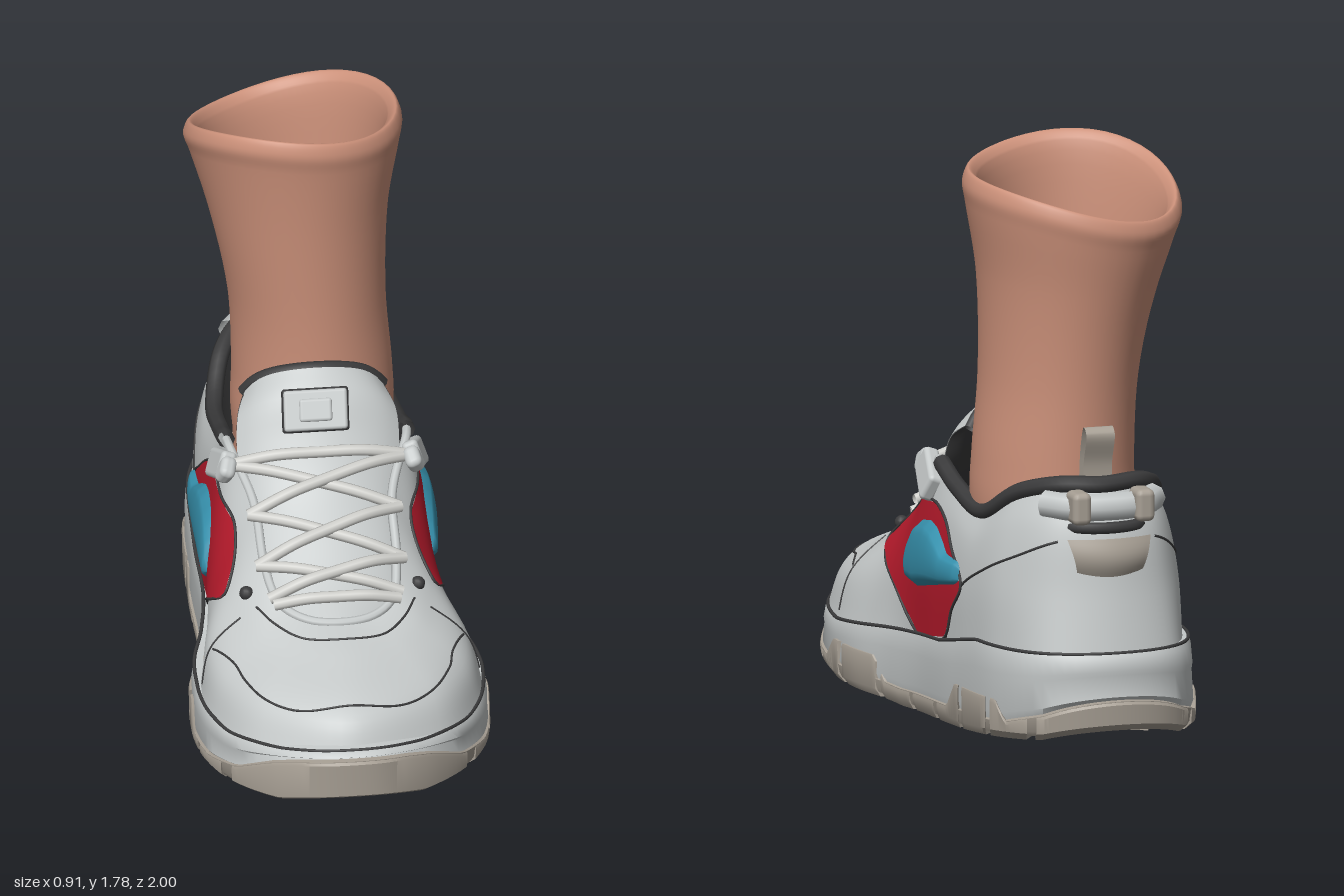
import * as THREE from 'three';
import { mergeVertices, toCreasedNormals } from 'three/addons/utils/BufferGeometryUtils.js';
import { RoundedBoxGeometry } from 'three/addons/geometries/RoundedBoxGeometry.js';

const V = (x, y, z) => new THREE.Vector3(x, y, z);
const paint = (name, color) => {
  const m = new THREE.MeshStandardMaterial({ color, side: THREE.DoubleSide });
  m.name = name;
  return m;
};

// Piecewise-linear lookup in a table of [key, value], keys rising
function look(tab, k) {
  if (k <= tab[0][0]) return tab[0][1];
  for (let i = 1; i < tab.length; i++) {
    const [a, p] = tab[i - 1], [b, q] = tab[i];
    if (k <= b) return p + (q - p) * (k - a) / (b - a);
  }
  return tab[tab.length - 1][1];
}

// Grid surface from f(u, v), u and v in 0..1
function surf(f, nu, nv, crease) {
  const pos = [], idx = [];
  for (let i = 0; i <= nu; i++) for (let j = 0; j <= nv; j++) {
    const p = f(i / nu, j / nv);
    pos.push(p.x, p.y, p.z);
    if (i < nu && j < nv) {
      const a = i * (nv + 1) + j, b = a + nv + 1;
      idx.push(a, b, a + 1, b, b + 1, a + 1);
    }
  }
  let g = new THREE.BufferGeometry();
  g.setAttribute('position', new THREE.Float32BufferAttribute(pos, 3));
  g.setIndex(idx);
  g = mergeVertices(g, 1e-5);
  g.computeVertexNormals();
  return crease ? toCreasedNormals(g, crease) : g;
}

// Closed, mirrored curve from a half outline running heel to toe
function ring(half) {
  const pts = half.map(p => V(...p));
  const back = half.slice(1, -1).reverse().map(([x, y, z]) => V(-x, y, z));
  return new THREE.CatmullRomCurve3([...pts, ...back], true);
}
const spline = pts => new THREE.CatmullRomCurve3(pts);
const tube = (pts, r, n = 40, closed = false) =>
  new THREE.TubeGeometry(new THREE.CatmullRomCurve3(pts, closed), n, r, 8, closed);

export function createModel() {
  const model = new THREE.Group(), shoe = new THREE.Group();
  model.name = 'shoeOnLeg';
  shoe.name = 'shoe';
  model.add(shoe);
  const white = paint('pale grey leather', 0xc6caca), tan = paint('warm grey rubber', 0xa79f94);
  const dark = paint('charcoal lining', 0x3b3b3c), tread = paint('dark tread', 0x66625d);
  const red = paint('red mesh', 0xb51a2b), teal = paint('teal overlay', 0x3690ac);
  const skin = paint('skin', 0xcc917a), cord = paint('lace', 0xcfcfcb);
  const add = (name, geo, mat, parent = shoe) => {
    const m = new THREE.Mesh(geo, mat);
    m.name = name;
    parent.add(m);
    return m;
  };

  // Upper: four level lines from the sole edge to the opening, heel to toe
  const levels = [
    [[0, .31, -.94], [.2, .31, -.88], [.29, .3, -.7], [.32, .28, -.5], [.33, .25, -.25], [.335, .22, 0], [.385, .2, .2], [.425, .19, .4], [.4, .19, .6], [.28, .21, .82], [0, .24, .95]],
    [[0, .5, -.905], [.18, .5, -.85], [.28, .5, -.69], [.32, .46, -.48], [.33, .44, -.25], [.335, .42, 0], [.355, .38, .2], [.39, .34, .38], [.36, .32, .57], [.25, .335, .75], [0, .345, .89]],
    [[0, .7, -.87], [.16, .7, -.82], [.25, .68, -.67], [.3, .6, -.48], [.305, .62, -.27], [.305, .62, -.03], [.28, .55, .16], [.295, .46, .34], [.25, .42, .5], [.16, .415, .6], [0, .42, .67]],
    [[0, .82, -.81], [.12, .82, -.77], [.21, .78, -.65], [.26, .69, -.48], [.27, .72, -.26], [.27, .77, -.08], [.21, .68, .12], [.2, .56, .3], [.17, .49, .42], [.1, .465, .48], [0, .46, .5]],
  ].map(ring);
  const rim = levels[3];
  const upper = add('upper', surf((u, v) => spline(levels.map(c => c.getPoint((1 - u) % 1))).getPoint(v), 160, 20), white);

  // Projection of points onto the upper
  const caster = new THREE.Raycaster();
  const onSide = (s, z, y, lift = 0) => {
    caster.set(V(s * 2, y, z), V(-s, 0, 0));
    const hit = caster.intersectObject(upper)[0];
    return V(hit && hit.point.x * s > 0 ? hit.point.x + s * lift : s * .3, y, z);
  };
  const onTop = (x, z, lift = 0) => {
    caster.set(V(x, 3, z), V(0, -1, 0));
    const hit = caster.intersectObject(upper)[0];
    return V(x, (hit ? hit.point.y : .3) + lift, z);
  };

  // Side panels, overlays and seams
  const panelTop = [[-.45, .46], [-.35, .55], [-.26, .62], [-.16, .655], [0, .64], [.11, .61], [.2, .545], [.285, .46]];
  const panelLow = [[-.45, .45], [-.38, .37], [-.32, .275], [-.08, .235], [.1, .345], [.22, .41], [.285, .45]];
  const finTop = [[-.435, .51], [-.42, .525], [-.32, .53], [-.27, .56], [-.21, .59], [-.15, .6], [-.07, .585], [-.03, .565], [.02, .515], [.045, .44]];
  const finLow = [[-.435, .47], [-.41, .455], [-.29, .43], [-.08, .385], [.01, .39], [.045, .43]];
  const patch = (s, top, low, lift, drop = 0) => surf((u, v) => {
    const z = THREE.MathUtils.lerp(top[0][0], top[top.length - 1][0], s < 0 ? u : 1 - u), y0 = look(low, z);
    return onSide(s, z, y0 + (look(top, z) - y0) * v - drop, lift(u, v));
  }, 36, 10);
  const sideSeam = (s, path, r) =>
    tube(spline(path.map(([z, y]) => V(0, y, z))).getPoints(30).map(p => onSide(s, p.z, p.y, .001)), r);
  const topSeam = half => tube(spline([...half.slice(1).reverse().map(([x, z]) => V(-x, 0, z)),
    ...half.map(([x, z]) => V(x, 0, z))]).getPoints(60).map(p => onTop(p.x, p.z, .001)), .0035, 90);
  for (const s of [-1, 1]) {
    add('sidePanel', patch(s, panelTop, panelLow, () => .006), red);
    add('sideOverlay', patch(s, finTop, finLow,
      (u, v) => .006 + .032 * Math.pow(Math.max(0, Math.sin(Math.PI * u) * Math.sin(Math.PI * v)), .3), s < 0 ? .025 : 0), teal);
    const edge = [...panelTop, ...panelLow.slice(1, -1).reverse()].map(([z, y]) => onSide(s, z, y, .004));
    add('panelPiping', tube(edge, .0045, 90, true), dark);
    add('heelSeam', sideSeam(s, [[-.32, .27], [-.38, .38], [-.45, .46], [-.6, .54], [-.75, .61], [-.84, .66]], .004), dark);
    add('quarterSeam', sideSeam(s, [[.4, .44], [.405, .33], [.4, .22]], .003), dark);
    const e = onSide(s, .34, .49, 0);
    add('eyelet', new THREE.SphereGeometry(.022, 12, 8).translate(e.x, e.y, e.z), dark);
  }
  add('toeSeam', topSeam([[0, .85], [.14, .83], [.25, .74], [.31, .62], [.33, .54], [.38, .42]]), dark);
  add('vampSeam', topSeam([[0, .575], [.12, .55], [.2, .47], [.24, .4]]), dark);

  // Opening: padded collar, lining and eyestay piping
  const arc = (c, a, b, n = 40) => Array.from({ length: n + 1 }, (_, i) => c.getPoint((a + (b - a) * i / n + 20) % 20 / 20));
  add('collar', tube(arc(rim, -4.8, 4.8), .027, 90), dark);
  add('lining', surf((u, v) => {
    const p = rim.getPoint((4.9 - 9.8 * u + 20) % 20 / 20);
    return V(p.x * (1 - .15 * v), p.y - .25 * v, p.z + (-.45 - p.z) * .15 * v);
  }, 60, 4), dark);
  add('eyestayPiping', tube(arc(rim, 4.8, 15.2), .014, 80), white);

  // Tongue, rounded at the top, with thick dark padding behind
  const tongueMid = spline([V(.13, .45, .5), V(.2, .51, .36), V(.22, .61, .22), V(.225, .71, .1), V(.245, .83, .01), V(.24, .94, -.055), V(.21, .995, -.12)]);
  const tongueAt = (u, v) => {
    const c = tongueMid.getPoint(v), k = 2 * u - 1;
    return V(c.x * k, c.y - .06 * k * k - .04 * v * k ** 6, c.z - .06 * k * k * v);
  };
  add('tongue', surf((u, v) => tongueAt(u, v), 20, 30), white);
  add('tonguePadding', surf((u, v) => {
    const p = tongueAt(1 - u, .45 + .55 * v);
    p.z -= .008 + .075 * Math.pow(Math.max(0, Math.sin(Math.PI * u) * Math.sin(Math.PI * (.5 + v / 2))), .25);
    return p;
  }, 20, 20), dark);
  add('tongueEdge', tube(Array.from({ length: 21 }, (_, i) => tongueAt(i / 20, 1).add(V(0, -.012, -.02))), .02), dark);
  const badge = (name, w, h, d, lift, mat) => add(name,
    new RoundedBoxGeometry(w, h, d, 3, .01).translate(0, 0, lift).rotateX(-.5).translate(-.01, .9, -.03), mat);
  badge('badgeRim', .203, .133, .03, 0, dark);
  badge('badgeFace', .193, .123, .03, .01, white);
  badge('badgeInset', .1, .07, .03, .018, white);

  // Laces lying close to the tongue
  const eye = (s, k) => { const p = rim.getPoint(k / 20); return V(p.x * s * 1.12, p.y + .004, p.z + .01); };
  const lace = (a, b, up) => {
    const at = (t, h) => a.clone().lerp(b, t).add(V(0, h, h * .6));
    add('lace', tube([a, at(.25, up * .9), at(.5, up), at(.75, up * .9), b], .018, 30), cord);
  };
  const rows = [5.4, 6.2, 7, 7.8];
  rows.slice(1).forEach((k, i) => [-1, 1].forEach(s => lace(eye(s, rows[i]), eye(-s, k), s > 0 ? .04 : .025)));
  lace(eye(-1, 5.4), eye(1, 5.4), .04);
  lace(eye(-1, 8), eye(1, 8), .025);

  // Flaps that hold the top laces
  for (const s of [-1, 1]) {
    add('laceFlap', new RoundedBoxGeometry(.05, .09, .17, 3, .015)
      .rotateX(-.45).rotateZ(s * .35).translate(s * .295, .72, -.05), white);
    add('laceLoop', new RoundedBoxGeometry(.05, .07, .07, 3, .02)
      .rotateX(.6).rotateZ(s * .4).translate(s * .285, .745, .03), white);
  }

  // Heel: pull loop, bumper strap and tab
  const loop = spline([V(0, .8, -.72), V(0, .92, -.735), V(0, .99, -.765), V(0, .97, -.79), V(0, .88, -.765), V(0, .8, -.76)]);
  add('pullLoop', surf((u, v) => loop.getPoint(u).add(V((v - .5) * .09, 0, 0)), 30, 2), tan);
  const strap = (name, y, z, w, r, mat) => add(name,
    tube([V(-w, y, z + w * .6), V(-w * .6, y, z + .02), V(0, y, z), V(w * .6, y, z + .02), V(w, y, z + w * .6)], r, 30), mat);
  strap('heelStrap', .765, -.875, .17, .042, white);
  strap('heelGroove', .7, -.875, .14, .018, dark);
  for (const s of [-1, 1])
    add('heelBand', new RoundedBoxGeometry(.06, .1, .09, 2, .02).translate(s * .1, .77, -.88), tan);
  add('heelTab', surf((u, v) => {
    const p = levels[1].getPoint((.7 - u * 1.4 + 20) % 20 / 20);
    return V(p.x * (.75 + .25 * v), .55 + .12 * v, p.z + .01 - .02 * Math.sin(Math.PI * v));
  }, 20, 8), tan);

  // Sole: one outline, stacked by scale and height
  const outline = ring([[0, 0, -.98], [.15, 0, -.95], [.25, 0, -.87], [.315, 0, -.72], [.345, 0, -.4], [.355, 0, -.1], [.385, 0, .08],
    [.435, 0, .25], [.445, 0, .4], [.42, 0, .58], [.34, 0, .76], [.22, 0, .9], [.1, 0, .975], [0, 0, .99]]);
  const yTop = z => look([[-1, .33], [-.6, .32], [-.3, .26], [0, .235], [.4, .2], [.7, .21], [.9, .25], [1, .28]], z);
  const yBot = z => look([[-1, .1], [-.9, .06], [-.5, .025], [0, 0], [.4, .02], [.7, .045], [.9, .075], [1, .12]], z);
  const yTan = z => look([[-1, .2], [-.9, .14], [-.76, .1], [0, .055], [.4, .075], [.6, .09], [.76, .135], [.88, .21], [.94, .24], [1, .262]], z);
  const yLug = z => yTan(z) + look([[-.78, 0], [-.73, .065], [-.44, .075], [-.38, 0], [.08, 0], [.14, .07], [.36, .07], [.44, 0]], z);
  const stack = (rowsOf, a, b, n, crease) => {
    const m = rowsOf(0).length - 1;
    return surf((u, v) => {
      const p = outline.getPointAt((a + (b - a) * u + 1) % 1);
      const [k, y, kz = k] = rowsOf(p.z)[Math.round(v * m)];
      return V(p.x * k, y, p.z * kz);
    }, n, m, crease);
  };
  add('midsole', stack(z => {
    const b = yTan(z) - .02, h = yTop(z) - b;
    return [[.97, b], [1, b + h * .2], [.99, b + h * .6], [.995, b + h * .68], [.985, b + h * .92], [.975, b + h], [.9, b + h]];
  }, 1, 0, 140, .7), white);
  add('midsoleLine', tube(outline.getSpacedPoints(120).slice(0, -1).map(p => V(p.x * .972, yTop(p.z), p.z * .972)), .0055, 200, true), dark);
  add('outsole', stack(z => [[.93, yBot(z) + .01], [.985, yBot(z) + .015], [1, yBot(z) + .03], [1.01, yTan(z)], [.96, yTan(z) + .003]], 1, 0, 140, .7), tan);
  add('treadBase', stack(z => [[.94, yBot(z) + .01], [.5, yBot(z) + .01, .94], [0, yBot(z) + .01, .94]], 0, 1, 120), tan);
  add('archPlate', surf((u, v) => {
    const z = -.48 + .64 * u;
    return V((.5 - v) * .36, yBot(z) + .005, z);
  }, 24, 2), tread);

  // Tread lugs around the edge, with closed ends; toe and heel are single wide pieces
  const spans = [[-.055, .055], [.405, .595]];
  for (let i = 0; i < 8; i++) {
    const a = .062 + i * .042;
    spans.push([a, a + .036], [1 - a - .036, 1 - a]);
  }
  const section = z => [[.58, yBot(z) + .015, .8], [.6, yBot(z), .82], [.97, yBot(z)], [1.01, yBot(z) + .025],
    [1.015, yLug(z) - .01], [1.008, yLug(z)], [.96, yLug(z)], [.58, yBot(z) + .015, .8]];
  for (const [a, b] of spans) {
    add('lug', stack(section, b, a, b - a > .1 ? 40 : 10, .6), tan);
    for (const t of [a, b]) {
      const p = outline.getPointAt((t + 1) % 1);
      const end = section(p.z).map(([k, y, kz = k]) => V(p.x * k, y, p.z * kz));
      add('lugEnd', surf((u, v) => end[Math.round(u * 7)].clone().lerp(V(p.x * .95, yBot(p.z) + .035, p.z * .96), v), 7, 1), tan);
    }
  }
  // Zigzag bars under the forefoot and heel
  for (const z of [.28, .42, .56, .7, -.68]) for (const s of [-1, 1])
    add('treadBar', new THREE.BoxGeometry(.2, .02, .07).rotateY(s * .5).translate(s * .09, yBot(z) + .012, z), tan);

  // The shoe's centre line curves slightly to one side, more so above the instep
  const lean = [[-1, -.03], [-.6, -.022], [-.2, -.014], [.05, -.012], [.35, 0], [.6, -.008], [.8, -.02], [1, -.035]];
  const instep = [[-.1, 0], [.15, -.015], [.35, -.02], [.6, 0]];
  shoe.traverse(o => {
    if (!o.isMesh) return;
    const p = o.geometry.attributes.position;
    for (let i = 0; i < p.count; i++) {
      const z = p.getZ(i), rise = THREE.MathUtils.smoothstep(p.getY(i), .2, .45);
      p.setX(i, p.getX(i) + look(lean, z) + look(instep, z) * rise);
    }
    o.geometry.computeBoundingSphere();
  });

  // Hollow leg: height, centre x and z, then radii, up the outside and down the inside
  const legRows = [[.4, 0, -.43, .2, .25], [.7, .01, -.425, .245, .28], [.85, .01, -.43, .242, .275], [1.1, -.005, -.435, .238, .28],
    [1.4, -.03, -.445, .272, .308], [1.6, -.04, -.45, .317, .337], [1.66, -.045, -.45, .33, .347], [1.7, -.045, -.45, .312, .33],
    [1.67, -.045, -.45, .285, .3], [1.4, -.03, -.445, .24, .275], [.9, -.01, -.43, .22, .262], [.4, -.01, -.43, .218, .26]];
  const spine = spline(legRows.map(r => V(r[1], r[0], r[2])));
  const girth = spline(legRows.map(r => V(r[3], r[0], r[4])));
  add('leg', surf((u, v) => {
    const c = spine.getPoint(v), r = girth.getPoint(v), a = u * Math.PI * 2, b = a + Math.PI * .75;
    // Saddle-shaped rim, lowest at the back right of the calf
    const wave = .05 * Math.cos(a) - .027 * (Math.cos(2 * b) + Math.cos(b));
    return V(c.x + r.x * Math.sin(a), c.y + THREE.MathUtils.smoothstep(c.y, 1.2, 1.68) * wave, c.z + r.z * Math.cos(a));
  }, 48, 66), skin, model);
  add('legFloor', new THREE.CircleGeometry(1, 40).rotateX(-Math.PI / 2).scale(.22, 1, .265).translate(-.01, .41, -.43), skin, model);
  return model;
}
